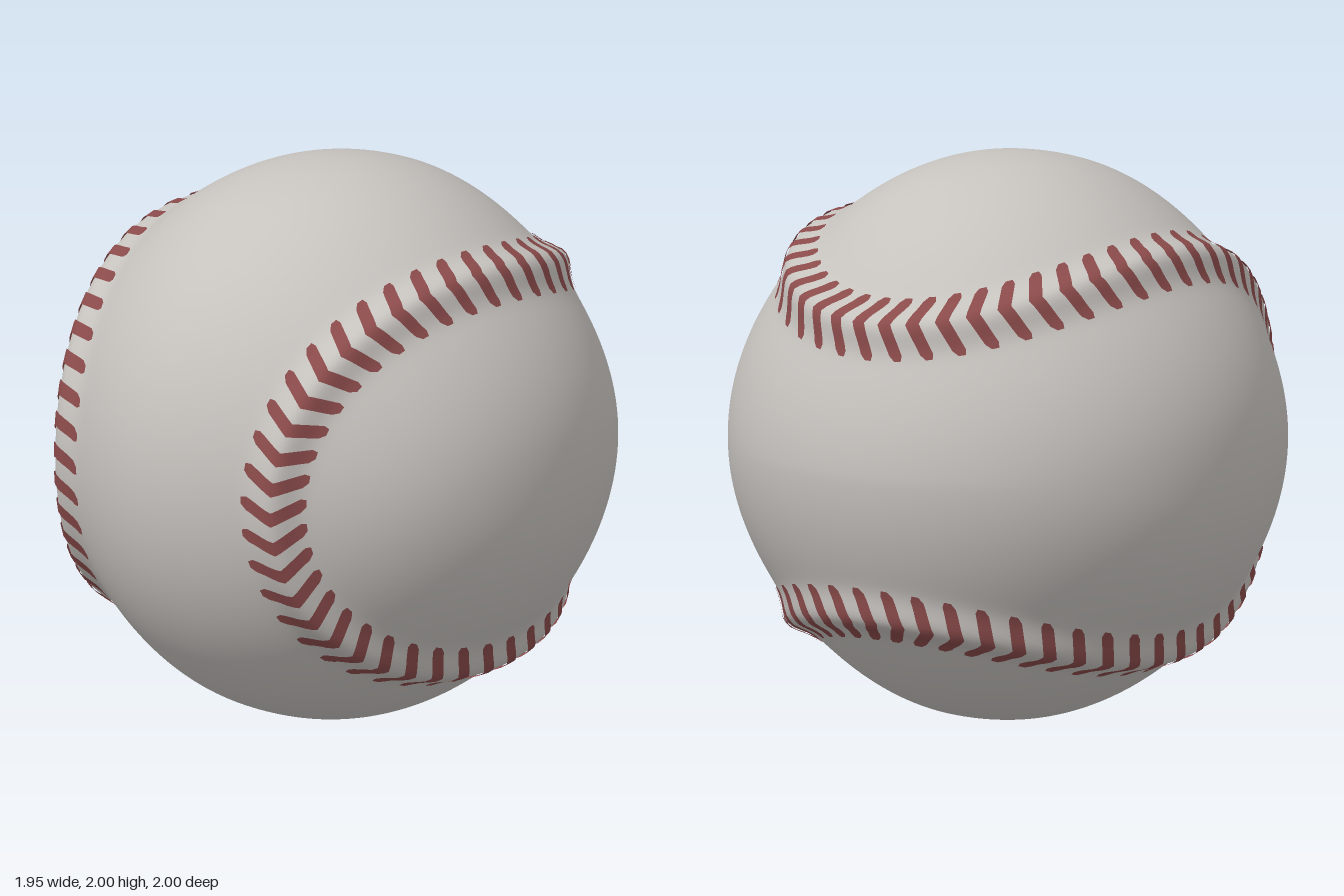
import * as THREE from 'three';
import { mergeVertices } from 'three/addons/utils/BufferGeometryUtils.js';

const A = 0.76, B = 0.24, C = 2 * Math.sqrt(A * B);
const STITCHES = 88;
const SCALE_X = 0.975;

// Closed seam curve lying on the unit sphere
function seamPoint(t) {
  return new THREE.Vector3(
    A * Math.cos(t) - B * Math.cos(3 * t),
    A * Math.sin(t) + B * Math.sin(3 * t),
    C * Math.cos(2 * t)
  );
}

const seam = Array.from({ length: 480 }, (_, i) => seamPoint((i / 480) * Math.PI * 2));

// Ball radius in a direction: slightly flat panels with a raised ridge along the seam
function surfaceRadius(dir) {
  let best = 4;
  for (const p of seam) best = Math.min(best, dir.distanceToSquared(p));
  const panel = 0.98 + 0.02 * THREE.MathUtils.smoothstep(Math.sqrt(best), 0.1, 0.65);
  return panel + 0.045 * Math.exp(-best / (0.07 * 0.07));
}

function makeCover() {
  let geo = new THREE.IcosahedronGeometry(1, 56);
  geo.deleteAttribute('uv');
  geo.deleteAttribute('normal');
  geo = mergeVertices(geo, 1e-5);
  const pos = geo.attributes.position;
  const v = new THREE.Vector3();
  for (let i = 0; i < pos.count; i++) {
    v.fromBufferAttribute(pos, i).normalize();
    v.multiplyScalar(surfaceRadius(v));
    pos.setXYZ(i, v.x * SCALE_X, v.y, v.z);
  }
  geo.computeVertexNormals();
  return geo;
}

// Each stitch is a thin V-shaped ribbon draped across the ridge
function makeStitches() {
  const verts = [], index = [];
  const steps = 12, half = 0.122, sweep = 0.055;
  for (let n = 0; n < STITCHES; n++) {
    const t = (n / STITCHES) * Math.PI * 2;
    const p = seamPoint(t);
    const along = seamPoint(t + 0.001).sub(seamPoint(t - 0.001)).normalize();
    const across = new THREE.Vector3().crossVectors(p, along);
    const start = verts.length / 3;
    for (let i = 0; i <= steps; i++) {
      const s = (i / steps) * 2 - 1;
      const width = Math.abs(s) > 0.95 ? 0.026 : 0.05;
      const mid = sweep * (Math.abs(s) - 0.5);
      for (const side of [-0.5, 0.5]) {
        const d = p.clone().addScaledVector(across, s * half)
          .addScaledVector(along, mid + side * width).normalize();
        d.multiplyScalar(surfaceRadius(d) + 0.006);
        verts.push(d.x * SCALE_X, d.y, d.z);
      }
      if (i < steps) {
        const a = start + i * 2;
        index.push(a, a + 1, a + 3, a, a + 3, a + 2);
      }
    }
  }
  const geo = new THREE.BufferGeometry();
  geo.setAttribute('position', new THREE.Float32BufferAttribute(verts, 3));
  geo.setIndex(index);
  geo.computeVertexNormals();
  return geo;
}

export function createModel() {
  const leather = new THREE.MeshStandardMaterial({ color: 0xc6c2be });
  leather.name = 'greyLeather';
  const thread = new THREE.MeshStandardMaterial({ color: 0x8a4a4a, side: THREE.DoubleSide });
  thread.name = 'redThread';

  const ball = new THREE.Group();
  ball.name = 'ball';
  const cover = new THREE.Mesh(makeCover(), leather);
  cover.name = 'leatherCover';
  const stitches = new THREE.Mesh(makeStitches(), thread);
  stitches.name = 'seamStitches';
  ball.add(cover, stitches);
  ball.position.y = 1;

  const model = new THREE.Group();
  model.name = 'stitchedBall';
  model.add(ball);
  return model;
}
